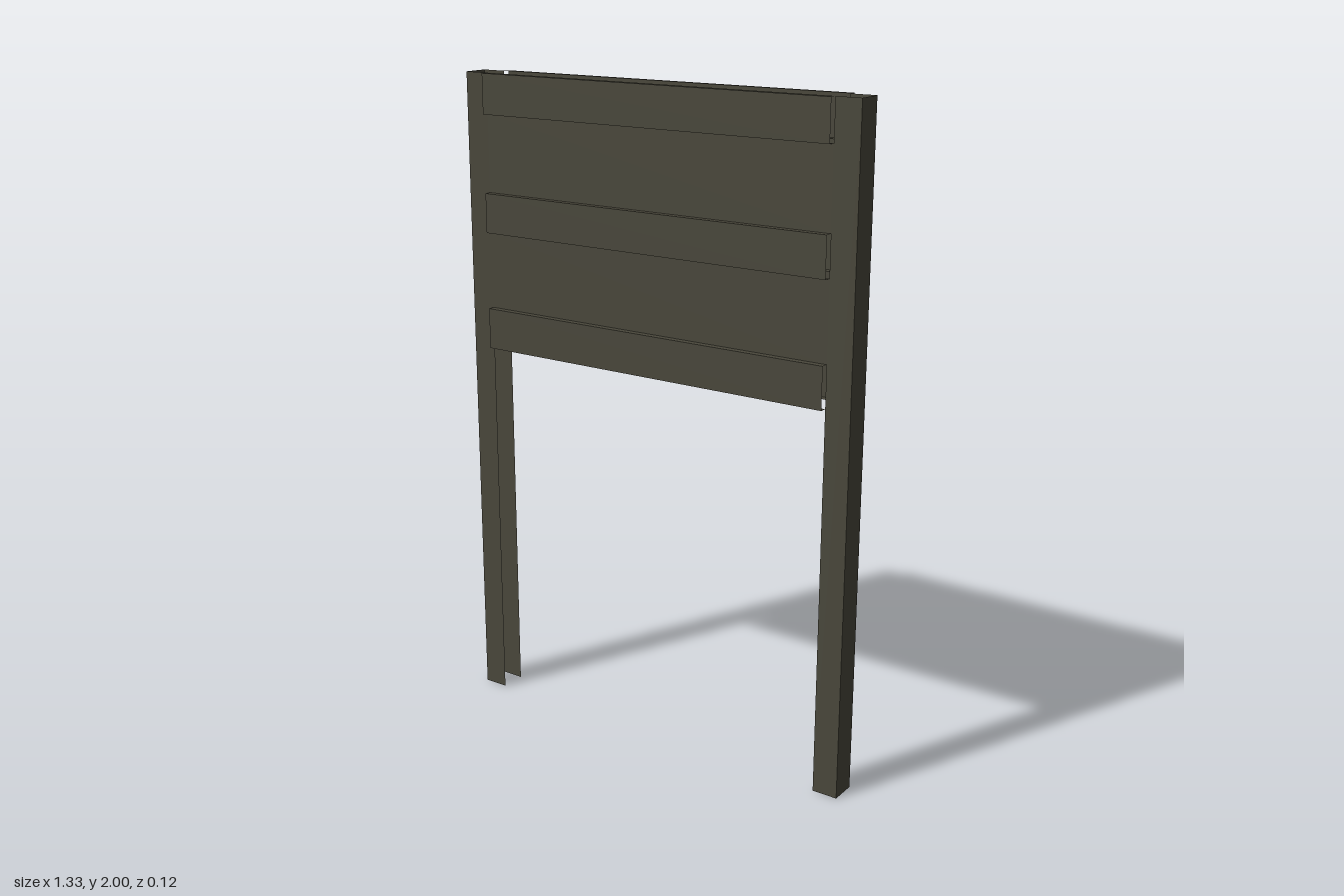
import * as THREE from 'three';

const HALF_WIDTH = 0.665, POST_INNER = 0.587, HALF_DEPTH = 0.04, RIB_OUT = 0.061;
const HEIGHT = 2;
const RIBS = [[1.165, 1.29], [1.525, 1.645], [1.88, HEIGHT]];

// Sweeps an open outline in a straight line; each segment becomes one flat face.
function foldedSheet(outline, from, to, place) {
  const positions = [];
  for (let i = 0; i < outline.length - 1; i++) {
    const a = outline[i], b = outline[i + 1];
    const corners = [place(a, from), place(b, from), place(b, to), place(a, to)];
    for (const k of [0, 1, 2, 0, 2, 3]) positions.push(...corners[k]);
  }
  const geometry = new THREE.BufferGeometry();
  geometry.setAttribute('position', new THREE.Float32BufferAttribute(positions, 3));
  geometry.computeVertexNormals();
  return geometry;
}

export function createModel() {
  const model = new THREE.Group();
  model.name = 'panelOnPosts';
  const metal = new THREE.MeshStandardMaterial({ color: 0x4a483c, side: THREE.DoubleSide });
  metal.name = 'dark olive metal';

  // U-shaped post, open towards the middle, outline in (x, z)
  const postGeometry = foldedSheet(
    [[POST_INNER, HALF_DEPTH], [HALF_WIDTH, HALF_DEPTH], [HALF_WIDTH, -HALF_DEPTH], [POST_INNER, -HALF_DEPTH]],
    0, HEIGHT, ([x, z], y) => [x, y, z]);

  // Panel sheet folded outward into three ribs, outline in (y, z)
  const profile = RIBS.flatMap(([low, high]) => [
    [low, HALF_DEPTH], [low, RIB_OUT], [high, RIB_OUT], [high, HALF_DEPTH],
  ]);
  const panelGeometry = foldedSheet(profile, POST_INNER, -POST_INNER, ([y, z], x) => [x, y, z]);

  // The second post and panel are half-turned copies
  const add = (geometry, name, turn) => {
    const mesh = new THREE.Mesh(geometry, metal);
    mesh.name = name;
    mesh.rotation.y = turn;
    model.add(mesh);
  };
  add(postGeometry, 'leftPost', 0);
  add(postGeometry, 'rightPost', Math.PI);
  add(panelGeometry, 'frontPanel', 0);
  add(panelGeometry, 'backPanel', Math.PI);
  return model;
}
